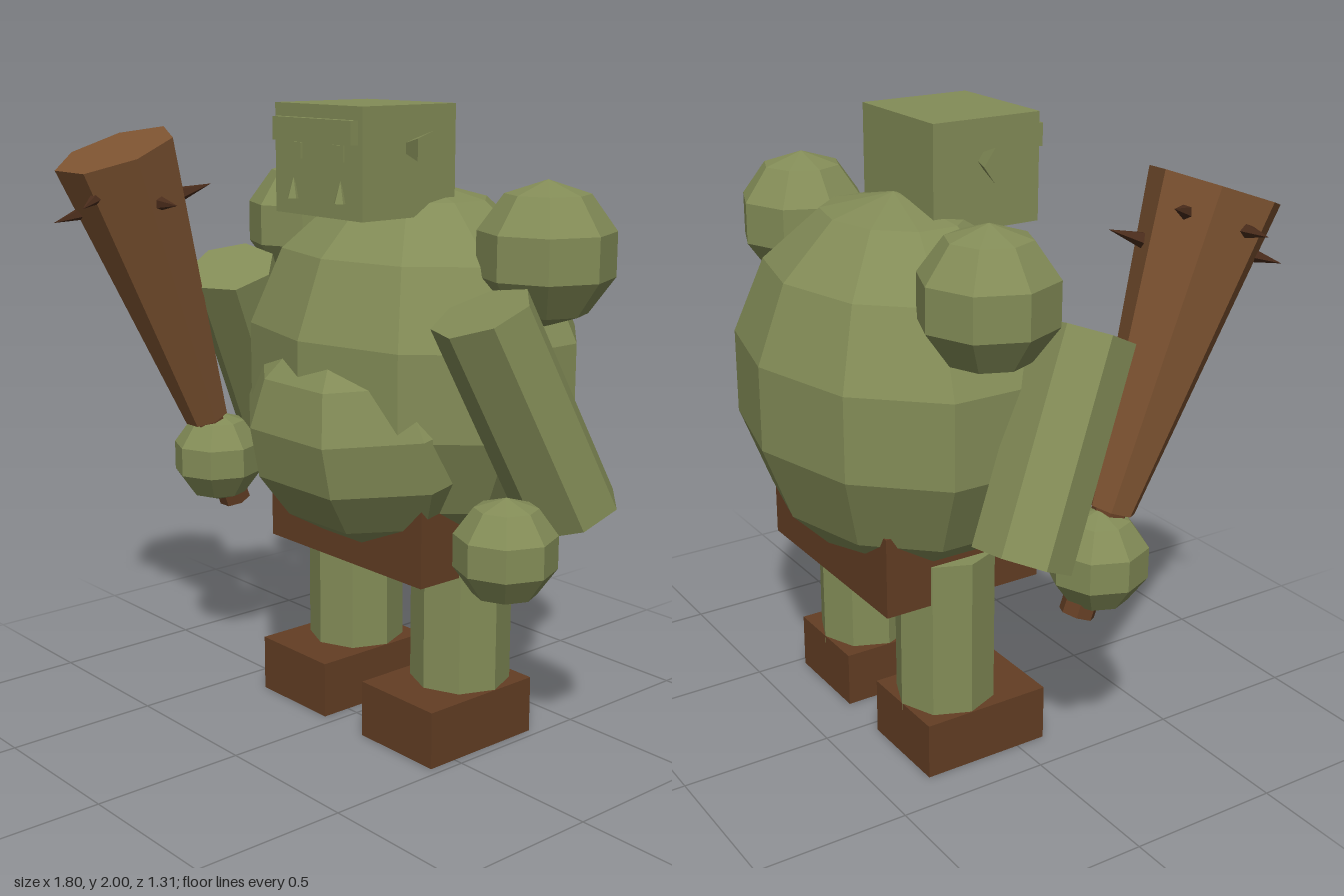
import * as THREE from 'three';

const CX = 0.05; // mirror plane of the body

function material(name, color) {
  const m = new THREE.MeshStandardMaterial({ color, flatShading: true });
  m.name = name;
  return m;
}

export function createModel() {
  const skin = material('green skin', 0x838c57);
  const leather = material('brown leather', 0x633e24);
  const wood = material('club wood', 0x7d5331);
  const spikeMat = material('dark spikes', 0x4a2c1b);
  const root = new THREE.Group();
  root.name = 'ogre';

  function add(name, geometry, mat, x, y, z, parent = root) {
    const mesh = new THREE.Mesh(geometry, mat);
    mesh.name = name;
    mesh.position.set(x, y, z);
    parent.add(mesh);
    return mesh;
  }
  const box = (w, h, d) => new THREE.BoxGeometry(w, h, d);

  // Torso: squashed low-poly ball with a vertex line at front and back
  const torso = new THREE.SphereGeometry(1, 10, 7).rotateY(Math.PI / 2).scale(0.615, 0.6, 0.48);
  add('torso', torso, skin, CX, 1.168, -0.19);

  // Belly: tilted slightly downward, a flat facet facing front
  const belly = new THREE.SphereGeometry(1, 8, 7).rotateY(Math.PI / 8).scale(0.47, 0.37, 0.355);
  add('belly', belly, skin, CX, 0.99, 0).rotation.x = 0.2;

  add('loincloth', box(0.73, 0.26, 0.545), leather, CX, 0.7, -0.172);

  // Head and face
  add('head', box(0.405, 0.33, 0.37), skin, CX, 1.835, 0.01);
  add('brow', box(0.365, 0.07, 0.03), skin, CX, 1.925, 0.207);

  for (const [side, s] of [['left', 1], ['right', -1]]) {
    const at = (dx) => CX + s * dx;

    add(side + 'Eye', box(0.052, 0.048, 0.008), skin, at(0.098), 1.862, 0.198);
    add(side + 'Tusk', new THREE.ConeGeometry(0.022, 0.065, 5), skin, at(0.11), 1.75, 0.2);

    // Flared ear, wide end outward
    const ear = new THREE.CylinderGeometry(0.056, 0.022, 0.09, 5).rotateY(Math.PI)
      .rotateZ(-s * Math.PI / 2);
    add(side + 'Ear', ear, skin, at(0.235), 1.875, 0.005);

    // Shoulder, slanting forearm and hand
    add(side + 'Shoulder', new THREE.SphereGeometry(0.215, 8, 5), skin, at(0.55), 1.58, -0.213);
    const top = new THREE.Vector3(at(0.59), 1.445, 0.09);
    const bottom = new THREE.Vector3(at(0.69), 0.835, -0.19);
    const axis = top.clone().sub(bottom);
    const mid = top.clone().add(bottom).multiplyScalar(0.5);
    const arm = new THREE.CylinderGeometry(1, 1, axis.length(), 7).scale(0.168, 1, 0.14);
    add(side + 'Arm', arm, skin, mid.x, mid.y, mid.z)
      .quaternion.setFromUnitVectors(new THREE.Vector3(0, 1, 0), axis.normalize());
    add(side + 'Hand', new THREE.SphereGeometry(0.158, 8, 5), skin, at(0.697), 0.772, 0.083);

    // Leg and foot
    add(side + 'Leg', new THREE.CylinderGeometry(0.16, 0.16, 0.54, 8), skin, at(0.257), 0.43, -0.175);
    add(side + 'Foot', box(0.325, 0.185, 0.435), leather, at(0.257), 0.0925, -0.117);
  }

  // Club leaning forward out of the right hand
  const club = new THREE.Group();
  club.name = 'club';
  club.position.set(-0.643, 0.605, 0.015);
  club.rotation.x = 0.347;
  root.add(club);
  add('clubHandle', new THREE.CylinderGeometry(0.055, 0.055, 0.4, 7).rotateY(Math.PI),
    leather, 0, 0.2, 0, club);
  add('clubHead', new THREE.CylinderGeometry(0.2, 0.074, 0.98, 7).rotateY(Math.PI),
    wood, 0, 0.825, 0, club);

  // Spikes: angle around the club from its front, and height along it
  const spikes = [[-90, 1.22], [90, 1.145], [25, 1.225], [-25, 1.157], [153, 1.11], [-153, 1.22]];
  for (const [degrees, h] of spikes) {
    const a = THREE.MathUtils.degToRad(degrees);
    const cone = new THREE.ConeGeometry(0.026, 0.11, 5).rotateX(Math.PI / 2).rotateY(a);
    add('clubSpike', cone, spikeMat, Math.sin(a) * 0.205, h, Math.cos(a) * 0.205, club);
  }
  return root;
}
